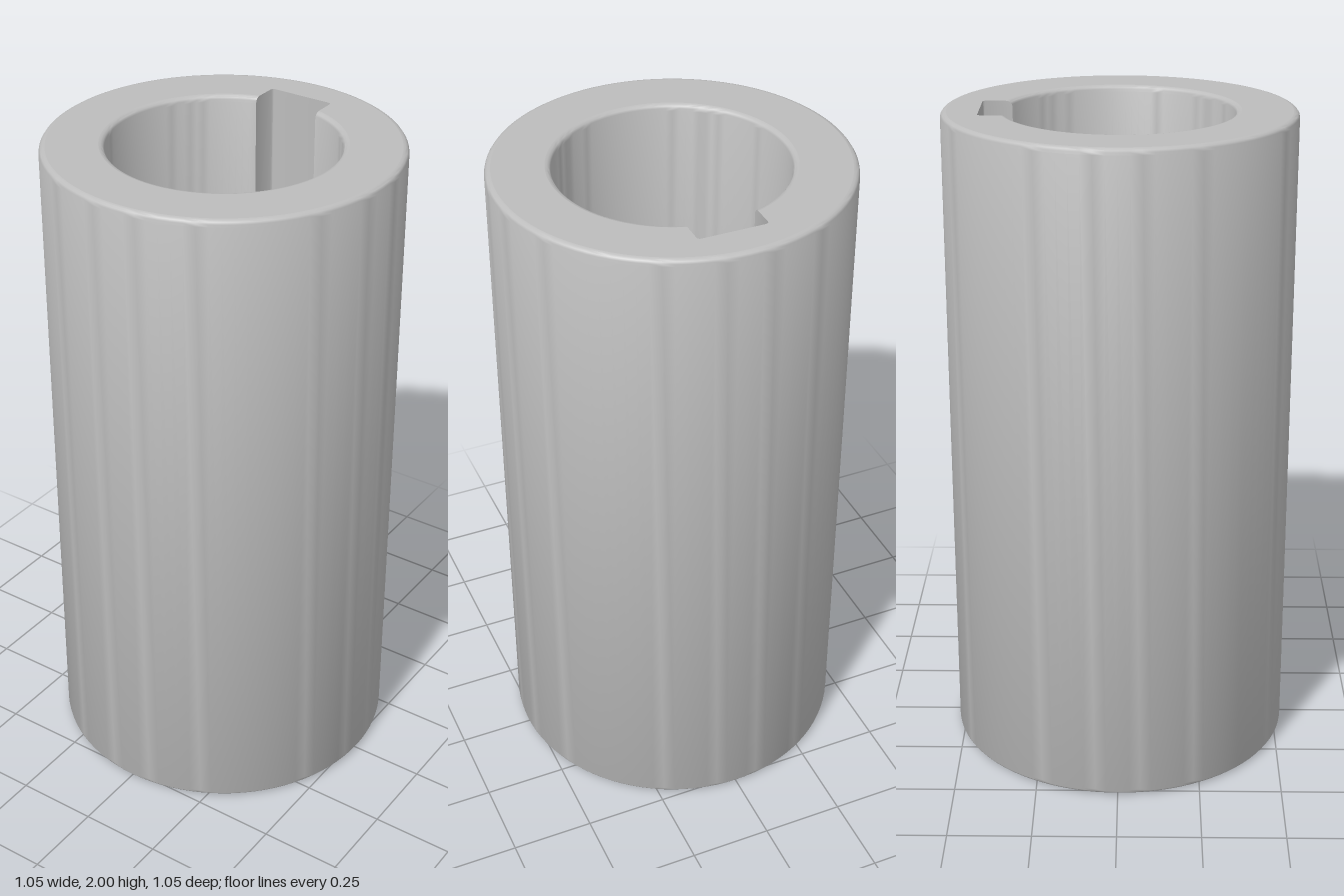
import * as THREE from 'three';
import { toCreasedNormals } from 'three/addons/utils/BufferGeometryUtils.js';

const R = 0.525;      // outer radius
const STEP = 0.9;     // height of the internal shoulder
const FILLET = 0.018;
const SEG = 96;

// Bore cross-section as [x, z] points: an arc plus a keyway towards -z
function boreRing(r, key) {
  const { half, depth, round } = key;
  const a = Math.asin(half / r);
  const pts = [];
  for (let i = 0; i <= SEG; i++) {
    const t = a + (i / SEG) * (2 * Math.PI - 2 * a);
    pts.push([r * Math.sin(t), -r * Math.cos(t)]);
  }
  const corner = [];
  for (let i = 0; i <= 4; i++) {
    const t = (i / 4) * Math.PI / 2;
    corner.push([half - round + round * Math.cos(t), -(depth - round + round * Math.sin(t))]);
  }
  corner.forEach(([x, z]) => pts.push([-x, z]));
  corner.reverse().forEach(p => pts.push(p));
  return pts;
}

// Inward-facing wall lofted through [radius, height] levels
function boreWall(levels, key) {
  const rings = levels.map(([r, y]) => boreRing(r, key).map(([x, z]) => [x, y, z]));
  const pos = [];
  for (let k = 0; k < rings.length - 1; k++) {
    const lo = rings[k], hi = rings[k + 1];
    for (let i = 0; i < lo.length; i++) {
      const j = (i + 1) % lo.length;
      pos.push(...lo[i], ...lo[j], ...hi[j], ...lo[i], ...hi[j], ...hi[i]);
    }
  }
  const geo = new THREE.BufferGeometry();
  geo.setAttribute('position', new THREE.Float32BufferAttribute(pos, 3));
  return toCreasedNormals(geo, 0.6);
}

// Flat ring between two outlines, facing up or down
function flatRing(outer, inner, y, up) {
  const s = up ? -1 : 1;
  const toPts = ring => ring.map(([x, z]) => new THREE.Vector2(x, s * z));
  const shape = new THREE.Shape(toPts(outer));
  shape.holes.push(new THREE.Path(toPts(inner)));
  return new THREE.ShapeGeometry(shape).rotateX(s * Math.PI / 2).translate(0, y, 0);
}

function circleRing(r) {
  return Array.from({ length: SEG }, (_, i) => {
    const t = (i / SEG) * 2 * Math.PI;
    return [r * Math.sin(t), r * Math.cos(t)];
  });
}

// Quarter-round edge: offsets [inset, drop] from the side to the end face
const edge = Array.from({ length: 5 }, (_, i) => {
  const t = (i / 4) * Math.PI / 2;
  return [FILLET * (1 - Math.cos(t)), FILLET * (1 - Math.sin(t))];
});

export function createModel() {
  const steel = new THREE.MeshStandardMaterial({ color: 0xbdbdbd });
  steel.name = 'steel grey';
  const group = new THREE.Group();
  group.name = 'shaftSleeve';
  const add = (name, geo) => {
    const mesh = new THREE.Mesh(geo, steel);
    mesh.name = name;
    group.add(mesh);
  };

  const wideKey = { half: 0.104, depth: 0.41, round: 0.01 };
  const narrowKey = { half: 0.051, depth: 0.337, round: 0.004 };
  const upperR = 0.338, mouthR = 0.26, neckR = 0.218;

  // Outer cylinder with rounded rims
  const top = edge.map(([dx, dy]) => new THREE.Vector2(R - dx, 2 - dy));
  const bottom = edge.map(([dx, dy]) => new THREE.Vector2(R - dx, dy)).reverse();
  add('outerSleeve', toCreasedNormals(new THREE.LatheGeometry([...bottom, ...top], SEG), 0.6));

  // Straight upper bore with the wide keyway
  add('upperBore', boreWall(
    [[upperR, STEP], ...edge.map(([dx, dy]) => [upperR + dx, 2 - dy])], wideKey));

  // Tapered lower bore with the narrow keyway
  add('taperedBore', boreWall(
    [...edge.map(([dx, dy]) => [mouthR + dx, dy]).reverse(), [neckR, STEP]], narrowKey));

  // End faces and internal shoulder
  const rim = circleRing(R - FILLET);
  add('topFace', flatRing(rim, boreRing(upperR + FILLET, wideKey), 2, true));
  add('bottomFace', flatRing(rim, boreRing(mouthR + FILLET, narrowKey), 0, false));
  add('innerShoulder', flatRing(boreRing(upperR, wideKey), boreRing(neckR, narrowKey), STEP, true));

  return group;
}
